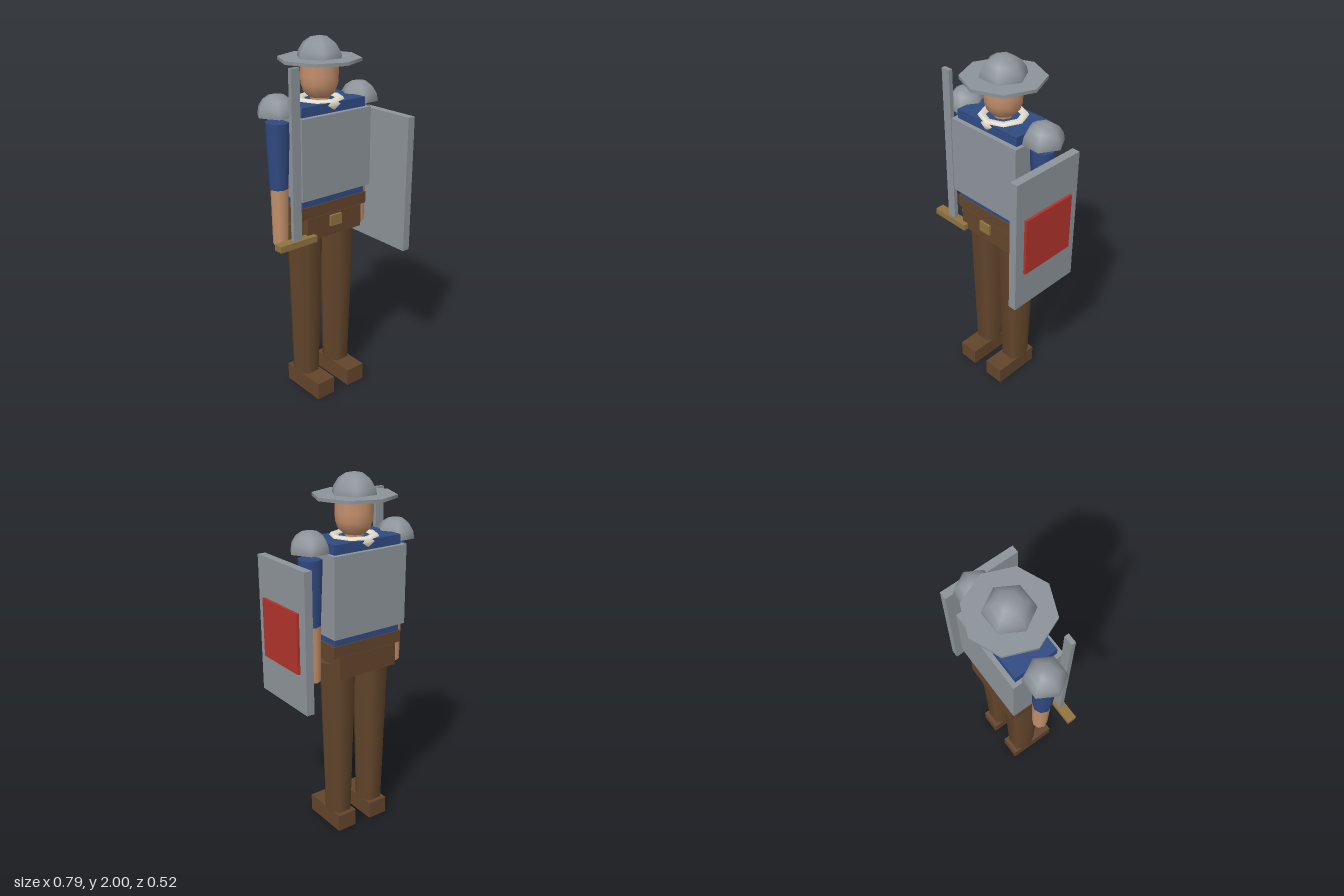
import * as THREE from 'three';

const mat = (name, color) => {
  const m = new THREE.MeshStandardMaterial({ color });
  m.name = name;
  return m;
};

export function createModel() {
  const steel = mat('steel', 0x8c9399);
  const leather = mat('brown leather', 0x62452b);
  const cloth = mat('blue cloth', 0x304a82);
  const skin = mat('skin', 0xc4906c);
  const cream = mat('cream scarf', 0xe6e0d0);
  const brass = mat('brass', 0x8f7340);
  const red = mat('red emblem', 0xb2332c);

  const model = new THREE.Group();
  model.name = 'soldier';
  const CX = -0.015, CZ = -0.045; // centre line of the body

  const add = (name, geometry, material, x = 0, y = 0, z = 0) => {
    const mesh = new THREE.Mesh(geometry, material);
    mesh.name = name;
    mesh.position.set(x, y, z);
    model.add(mesh);
    return mesh;
  };
  // Box given by its lowest and highest corner
  const box = (name, material, [x0, y0, z0], [x1, y1, z1]) =>
    add(name, new THREE.BoxGeometry(x1 - x0, y1 - y0, z1 - z0), material,
      (x0 + x1) / 2, (y0 + y1) / 2, (z0 + z1) / 2);
  // Upright tapered limb between two heights, with a corner on the x axis
  const limb = (name, material, x, y0, y1, rBottom, rTop, sides) => {
    const g = new THREE.CylinderGeometry(rTop, rBottom, y1 - y0, sides);
    g.rotateY(Math.PI / 2);
    return add(name, g, material, x, (y0 + y1) / 2, CZ);
  };
  const dome = (name, r, x, y) => {
    add(name, new THREE.SphereGeometry(r, 6, 4, 0, Math.PI * 2, 0, Math.PI / 2), steel, x, y, CZ);
    const base = new THREE.CircleGeometry(r, 6);
    base.rotateX(Math.PI / 2);
    add(name + 'Base', base, steel, x, y, CZ);
  };

  // Torso, armour and belt
  box('tunic', cloth, [-0.222, 1.15, -0.165], [0.193, 1.68, 0.074]);
  box('breastplate', steel, [-0.243, 1.2, -0.19], [0.213, 1.63, 0.1]);
  box('belt', leather, [-0.235, 1.09, -0.17], [0.205, 1.155, 0.08]);
  box('hips', leather, [-0.2, 0.965, -0.172], [0.168, 1.09, 0.083]);
  box('buckle', brass, [-0.053, 1.02, 0.08], [0.021, 1.08, 0.097]);

  // Arms, shoulder caps, legs and shoes
  for (const [side, s] of [['left', 1], ['right', -1]]) {
    const armX = CX + s * 0.272, legX = CX + s * 0.11;
    limb(side + 'Sleeve', cloth, armX, 1.25, 1.6, 0.05, 0.064, 8);
    limb(side + 'Forearm', skin, armX - s * 0.004, 0.94, 1.25, 0.042, 0.048, 8);
    dome(side + 'ShoulderCap', 0.108, armX, 1.635);
    limb(side + 'Leg', leather, legX, 0.09, 1.03, 0.079, 0.106, 6);
    box(side + 'Shoe', leather, [legX - 0.059, 0, -0.138], [legX + 0.059, 0.1, 0.143]);
  }

  // Head, neck and scarf
  const headProfile = [[0, 1.685], [0.055, 1.692], [0.085, 1.72], [0.098, 1.76], [0.1, 1.8], [0.1, 1.885]];
  add('head', new THREE.LatheGeometry(headProfile.map(([r, y]) => new THREE.Vector2(r, y)), 12),
    skin, CX, 0, CZ);
  limb('neck', skin, CX, 1.64, 1.71, 0.05, 0.05, 8);
  const scarf = new THREE.TorusGeometry(0.108, 0.028, 6, 8);
  scarf.rotateX(Math.PI / 2);
  add('scarf', scarf, cream, CX, 1.668, CZ);

  // Wide-brimmed helmet
  limb('helmetBrim', steel, CX, 1.875, 1.892, 0.217, 0.217, 8);
  dome('helmetDome', 0.126, CX, 1.874);

  // Sword in front of the right arm
  box('swordBlade', steel, [-0.302, 0.99, 0.075], [-0.25, 1.885, 0.098]);
  box('swordGuard', brass, [-0.395, 0.965, 0.06], [-0.16, 1.0, 0.112]);

  // Shield outside the left arm
  box('shield', steel, [0.333, 0.82, -0.175], [0.378, 1.58, 0.26]);
  box('shieldEmblem', red, [0.378, 1.035, -0.121], [0.393, 1.36, 0.205]);

  return model;
}
